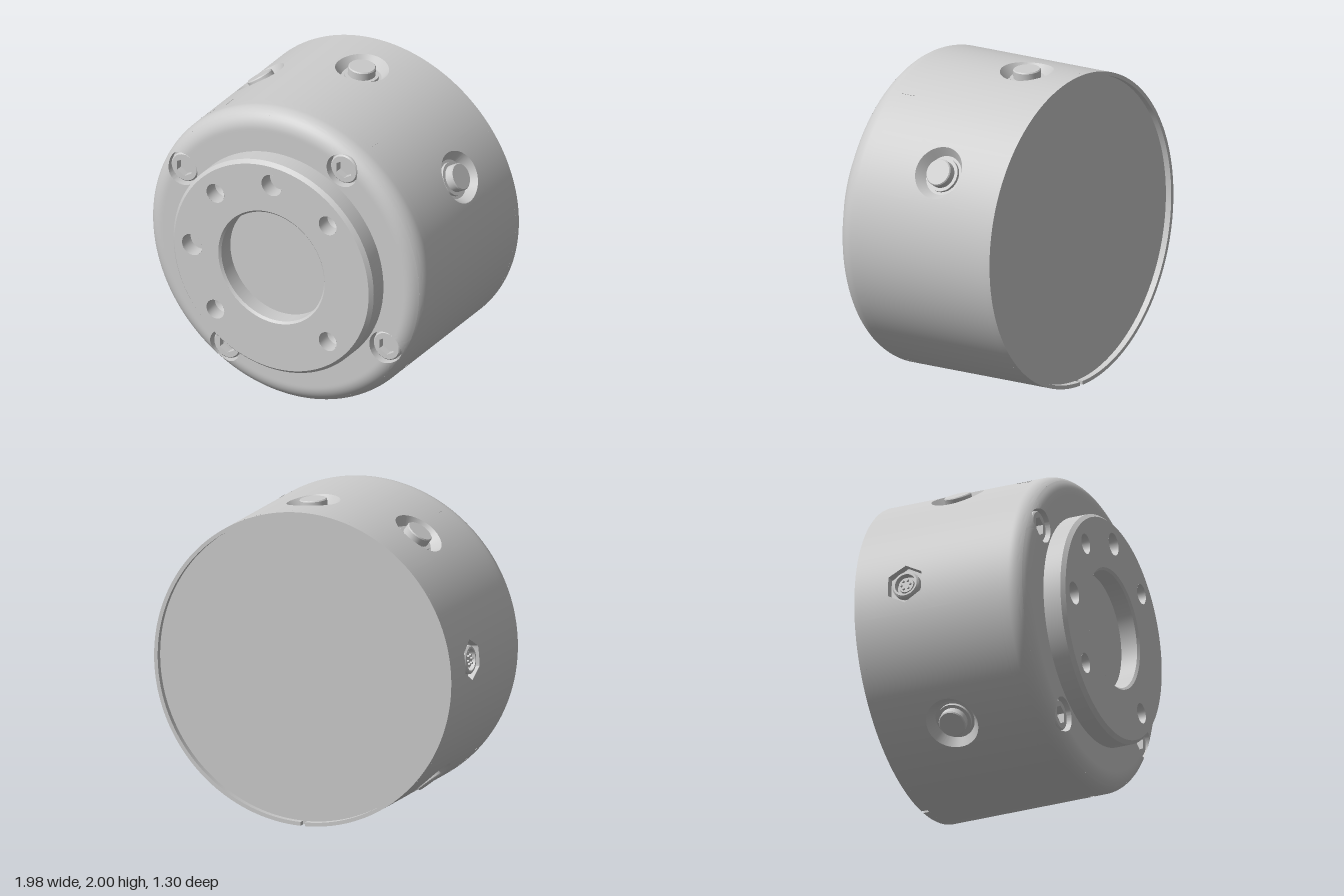
import * as THREE from 'three';
import { mergeGeometries, toCreasedNormals } from 'three/addons/utils/BufferGeometryUtils.js';

const material = new THREE.MeshStandardMaterial({ color: 0xcccccc, side: THREE.DoubleSide });
const { cos, sin, PI } = Math;
const rad = THREE.MathUtils.degToRad, lerp = THREE.MathUtils.lerp;
const R = 0.992, FILLET = 0.12, FRONT = 0.51, BACK = -0.61, SEAM = 0.327;
const V = (x, y, z) => new THREE.Vector3(x, y, z);

function mesh(name, geometry, parent, crease = 0.5) {
  const m = new THREE.Mesh(toCreasedNormals(geometry, crease), material);
  m.name = name;
  parent.add(m);
  return m;
}

// Grid of quads from a point rule f(i, j)
function grid(n, m, f) {
  const pos = [], index = [];
  for (let j = 0; j <= m; j++) for (let i = 0; i <= n; i++) pos.push(...f(i, j).toArray());
  for (let j = 0; j < m; j++) for (let i = 0; i < n; i++) {
    const a = j * (n + 1) + i, d = a + n + 1;
    index.push(a, a + 1, d + 1, a, d + 1, d);
  }
  const g = new THREE.BufferGeometry();
  g.setAttribute('position', new THREE.Float32BufferAttribute(pos, 3));
  g.setIndex(index);
  return g;
}

const tile = (map, u0, u1, v0, v1, n, m) =>
  grid(n, m, (i, j) => map(lerp(u0, u1, i / n), lerp(v0, v1, j / m)));

// Rectangle of a mapped surface with a hole, plus the pocket behind the hole.
// rows: [radius factor, height] from the pocket's floor edge to its middle
function holedTile(map, u0, u1, v0, v1, su, sv, radius, toUV, toPoint, rows) {
  const k = 20, n = 4 * k, rings = 6;
  const corners = [[u0, v0], [u1, v0], [u1, v1], [u0, v1], [u0, v0]];
  const edge = [], rim = [], local = [];
  for (let i = 0; i <= n; i++) {
    const s = Math.min(3, Math.floor(i / k)), t = i / k - s;
    const e = [0, 1].map(c => lerp(corners[s][c], corners[s + 1][c], t));
    const a = Math.atan2((e[1] - (v0 + v1) / 2) * sv, (e[0] - (u0 + u1) / 2) * su);
    const r = radius(a);
    edge.push(e);
    local.push([r * cos(a), r * sin(a)]);
    rim.push(toUV(r * cos(a), r * sin(a)));
  }
  const face = grid(n, rings, (i, j) =>
    map(lerp(edge[i][0], rim[i][0], j / rings), lerp(edge[i][1], rim[i][1], j / rings)));
  const pocket = grid(n, rows.length, (i, j) => j === 0 ? map(...rim[i])
    : toPoint(local[i][0] * rows[j - 1][0], local[i][1] * rows[j - 1][0], rows[j - 1][1]));
  return [face, pocket];
}

// Turned part around the z axis, from [radius, z] points
const turned = (pts, seg = 48) =>
  new THREE.LatheGeometry(pts.map(p => new THREE.Vector2(...p)), seg).rotateX(PI / 2);

function circlePath(r, x = 0, y = 0) {
  return new THREE.Path().absarc(x, y, r, 0, 2 * PI, true);
}

function hexPath(r) {
  const p = [];
  for (let i = 0; i < 6; i++) p.push(new THREE.Vector2(r * cos(PI / 6 + i * PI / 3), r * sin(PI / 6 + i * PI / 3)));
  return new THREE.Path(p);
}

// Side ports: angle, z, hexagonal or round
const ports = [[30, -0.175], [85.5, -0.295], [125, -0.145], [175.5, -0.31, true], [230, -0.15]];

function addShell(body) {
  const map = (a, z) => V(R * cos(a), R * sin(a), z);
  const half = 0.2, parts = [];
  ports.forEach(([deg, zc, hex], i) => {
    const a = rad(deg), a0 = a - half, a1 = a + half, z0 = zc - 0.2, z1 = zc + 0.2;
    const next = i + 1 < ports.length ? rad(ports[i + 1][0]) : rad(ports[0][0]) + 2 * PI;
    const radius = hex ? t => 0.112 / cos(((t + 4 * PI) % (PI / 3)) - PI / 6) : () => 0.167;
    const rows = hex ? [[1, 0.94], [0, 0.94]] : [[0.75, 0.925], [0, 0.925]];
    parts.push(...holedTile(map, a0, a1, z0, z1, R, 1, radius,
      (p, q) => [a + Math.asin(p / R), zc + q],
      (p, q, h) => V(h * cos(a) - p * sin(a), h * sin(a) + p * cos(a), zc + q), rows));
    parts.push(tile(map, a0, a1, BACK, z0, 20, 1), tile(map, a0, a1, z1, SEAM, 20, 1));
    parts.push(tile(map, a1, next - half, BACK, SEAM, Math.ceil((next - a1) / 0.04), 1));
  });
  // The seam is closed along the top
  parts.push(tile(map, rad(58), rad(122), SEAM, SEAM + 0.006, 40, 1));
  mesh('sideShell', mergeGeometries(parts), body);
  mesh('seamBacking', turned([[0.982, 0.2], [0.982, 0.4]], 128), body);
  for (const deg of [58, 122]) {
    const tab = mesh('seamEnd', new THREE.BoxGeometry(0.004, 0.005, 0.09), body);
    tab.position.set(R * cos(rad(deg)), R * sin(rad(deg)), 0.285);
    tab.rotation.z = rad(deg);
  }
}

function addPortInserts(body) {
  for (const [deg, z, hex] of ports) {
    const a = rad(deg), g = new THREE.Group();
    g.name = hex ? 'sideConnector' : 'sideButton';
    g.position.z = z;
    g.quaternion.setFromUnitVectors(V(0, 0, 1), V(cos(a), sin(a), 0));
    body.add(g);
    if (hex) {
      mesh('connectorSleeve', turned([[0.09, 0.94], [0.09, 0.975], [0.08, 0.985], [0.068, 0.985], [0.068, 0.94]]), g);
      mesh('connectorCore', turned([[0.05, 0.94], [0.05, 0.97], [0, 0.97]], 24), g);
      for (let i = 0; i < 6; i++) {
        const pin = mesh('connectorPin', new THREE.CylinderGeometry(0.008, 0.008, 0.02, 10).rotateX(PI / 2), g);
        pin.position.set(0.03 * cos(i * PI / 3), 0.03 * sin(i * PI / 3), 0.975);
      }
    } else {
      mesh('buttonCap', turned([[0.108, 0.925], [0.108, 0.945], [0.086, 0.945], [0.086, 0.993], [0.08, 1], [0, 1]]), g);
    }
  }
}

function addFrontCover(body) {
  const fr = R - FILLET, rMax = 0.958, end = Math.acos((rMax - fr) / FILLET);
  const height = r => FRONT - FILLET + (r > fr ? Math.sqrt(FILLET ** 2 - (r - fr) ** 2) : FILLET);
  const profile = [[R, SEAM + 0.006]];
  for (let i = 0; i <= 10; i++) {
    const t = end * i / 10;
    profile.push([fr + FILLET * cos(t), FRONT - FILLET + FILLET * sin(t)]);
  }
  mesh('coverEdge', turned(profile, 160), body);

  // Cover face with four screw pockets
  const map = (r, a) => V(r * cos(a), r * sin(a), height(r));
  const half = 0.17, rc = 0.842, r0 = 0.7, parts = [];
  for (let i = 0; i < 4; i++) {
    const a = rad(60 + 90 * i);
    parts.push(...holedTile(map, r0, rMax, a - half, a + half, 1, rc, () => 0.109,
      (p, q) => [Math.hypot(rc + p, q), a + Math.atan2(q, rc + p)],
      (p, q, h) => V((rc + p) * cos(a) - q * sin(a), (rc + p) * sin(a) + q * cos(a), h),
      [[1, 0.44], [0, 0.44]]));
    parts.push(tile(map, r0, rMax, a + half, a + PI / 2 - half, 20, 32));

    // Socket-head screw
    const screw = new THREE.Group();
    screw.name = 'coverScrew';
    screw.position.set(rc * cos(a), rc * sin(a), 0);
    body.add(screw);
    mesh('screwHead', turned([[0.096, 0.44], [0.096, 0.478], [0.088, 0.486]]), screw);
    const top = new THREE.Shape().absarc(0, 0, 0.088, 0, 2 * PI);
    top.holes.push(hexPath(0.06));
    mesh('screwSocket', new THREE.ExtrudeGeometry(top, { depth: 0.045, bevelEnabled: false, curveSegments: 24 }), screw)
      .position.z = 0.441;
  }
  mesh('coverFace', mergeGeometries(parts), body);
}

function addFlange(body) {
  const top = 0.65;
  mesh('flangeSide', turned([[0.722, FRONT - 0.01], [0.722, top - 0.025], [0.7, top]], 128), body);
  const face = new THREE.Shape().absarc(0, 0, 0.7, 0, 2 * PI);
  face.holes.push(circlePath(0.384));
  mesh('centreBore', turned([[0.384, top], [0.37, top - 0.014], [0.37, 0.53], [0, 0.53]], 96), body);
  // Mounting holes with conical ends, and two flat dowel holes
  const d = 0.405;
  const holes = [[d, d], [-d, d], [-d, -d], [d, -d], [0, 0.573, true], [-0.573, 0, true]];
  for (const [x, y, dowel] of holes) {
    const r = dowel ? 0.072 : 0.064;
    face.holes.push(circlePath(r, x, y));
    mesh(dowel ? 'dowelHole' : 'mountingHole',
      turned([[r, top], [r, 0.55], [0, dowel ? 0.55 : 0.515]], 32), body).position.set(x, y, 0);
  }
  mesh('flangeFace', new THREE.ShapeGeometry(face, 64), body).position.z = top;
}

function addBack(body) {
  // Thin rim with a small notch at the bottom, around a recessed plate
  const gap = 0.014, a0 = -PI / 2 + gap, a1 = 1.5 * PI - gap;
  const rim = new THREE.Shape();
  rim.absarc(0, 0, R, a0, a1, false);
  rim.absarc(0, 0, 0.968, a1, a0, true);
  rim.closePath();
  mesh('backRim', new THREE.ExtrudeGeometry(rim, { depth: 0.04, bevelEnabled: false, curveSegments: 128 }), body)
    .position.z = -0.65;
  mesh('backPlate', new THREE.CircleGeometry(0.99, 128).rotateY(PI), body).position.z = BACK;
}

export function createModel() {
  const model = new THREE.Group();
  model.name = 'flangedHousing';
  const body = new THREE.Group();
  body.name = 'housing';
  body.position.y = 1;
  model.add(body);
  addShell(body);
  addPortInserts(body);
  addFrontCover(body);
  addFlange(body);
  addBack(body);
  return model;
}
